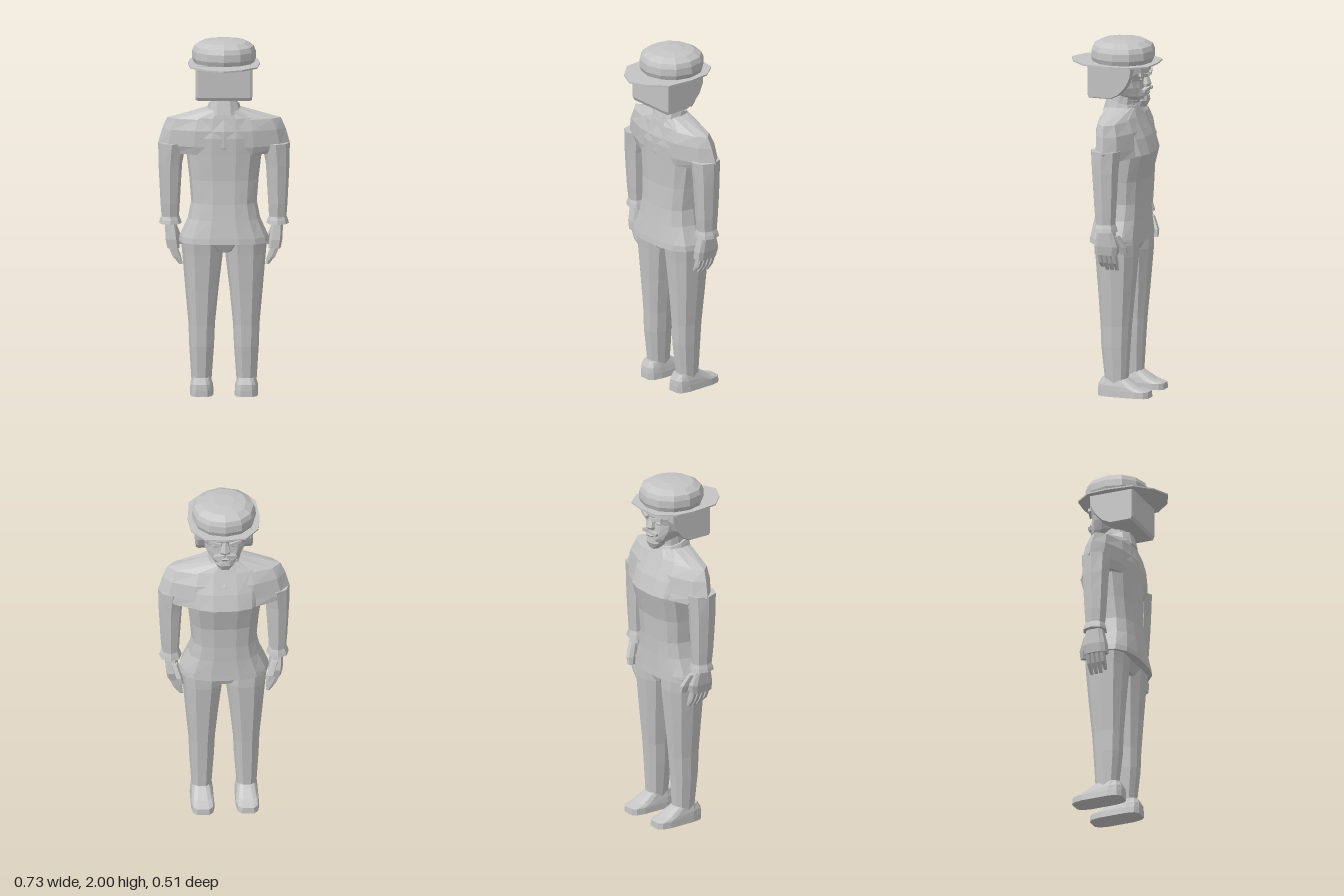
import * as THREE from 'three';

const grey = new THREE.MeshStandardMaterial({ color: 0xc4c4c4, flatShading: true, side: THREE.DoubleSide });
grey.name = 'plain grey';

function add(parent, name, geometry) {
  const m = new THREE.Mesh(geometry, grey);
  m.name = name;
  parent.add(m);
  return m;
}

// Skin over rounded rings, listed bottom to top: [y, xMin, xMax, zMin, zMax, squareness, tilt]
// squareness 1 is an ellipse, smaller is boxier, larger is pointed; tilt raises y along z
function loft(rings, n = 12, turn = 0) {
  const pos = [], idx = [];
  const pw = (v, p) => (Math.abs(v) < 1e-6 ? 0 : Math.sign(v) * Math.abs(v) ** p);
  for (const [y, x0, x1, z0, z1, p = 1, tilt = 0] of rings) {
    for (let j = 0; j < n; j++) {
      const a = ((j + turn) / n) * Math.PI * 2;
      const dz = pw(Math.sin(a), p) * (z1 - z0) / 2;
      pos.push((x0 + x1) / 2 + pw(Math.cos(a), p) * (x1 - x0) / 2, y + dz * tilt, (z0 + z1) / 2 + dz);
    }
  }
  const mid = (r) => {
    const [y, x0, x1, z0, z1] = r;
    pos.push((x0 + x1) / 2, y, (z0 + z1) / 2);
    return pos.length / 3 - 1;
  };
  const last = (rings.length - 1) * n;
  const lo = mid(rings[0]), hi = mid(rings[rings.length - 1]);
  for (let j = 0; j < n; j++) {
    const k = (j + 1) % n;
    for (let i = 0; i < last; i += n) idx.push(i + j, i + n + j, i + k, i + k, i + n + j, i + n + k);
    idx.push(lo, j, k, hi, last + k, last + j);
  }
  const g = new THREE.BufferGeometry();
  g.setAttribute('position', new THREE.Float32BufferAttribute(pos, 3));
  g.setIndex(idx);
  g.computeVertexNormals();
  return g;
}

// Rings symmetric about x = 0: [y, halfWidth, zMin, zMax, squareness, tilt]
const centred = (rings, n, turn) => loft(rings.map(([y, w, ...r]) => [y, -w, w, ...r]), n, turn);
// Rings moved to one side of the body
const sided = (s, rings, n, turn) =>
  loft(rings.map(([y, a, b, ...r]) => (s > 0 ? [y, a, b, ...r] : [y, -b, -a, ...r])), n, turn);

function buildHead() {
  const head = new THREE.Group();
  head.name = 'head';
  add(head, 'neck', centred([
    [1.57, 0.085, -0.13, 0.05, 0.8], [1.63, 0.075, -0.12, 0.03, 0.8, -0.15], [1.72, 0.07, -0.13, 0.0, 0.9],
  ], 10));
  add(head, 'collar', centred([
    [1.59, 0.1, -0.14, 0.06, 0.8], [1.645, 0.085, -0.13, 0.04, 0.8, 0.25],
  ], 10));
  add(head, 'face', centred([
    [1.655, 0.045, -0.185, -0.09, 0.8, 0.3], [1.69, 0.085, -0.195, -0.02, 0.8], [1.74, 0.115, -0.185, 0, 0.8],
    [1.78, 0.125, -0.18, 0, 0.8], [1.82, 0.13, -0.195, 0, 0.8], [1.88, 0.13, -0.19, 0, 0.8],
  ], 12));
  // hair block, cut back towards the jaw at each side
  const side = new THREE.Shape([
    [-0.11, 1.875], [-0.11, 1.7], [-0.1, 1.68], [0.03, 1.68], [0.08, 1.705], [0.125, 1.755], [0.15, 1.81], [0.155, 1.875],
  ].map(([x, y]) => new THREE.Vector2(x, y)));
  const hair = new THREE.ExtrudeGeometry(side, { depth: 0.29, bevelThickness: 0.012, bevelSize: 0.006, bevelOffset: -0.006, bevelSegments: 1 });
  hair.translate(0, 0, -0.145).rotateY(Math.PI / 2);
  add(head, 'hair', hair);
  add(head, 'nose', centred([
    [1.738, 0.03, -0.205, -0.16], [1.755, 0.032, -0.217, -0.16], [1.815, 0.014, -0.196, -0.16],
  ], 6, 0.5));
  add(head, 'chin', centred([
    [1.635, 0.04, -0.185, -0.1, 0.8, 0.35], [1.66, 0.055, -0.203, -0.1, 0.8], [1.685, 0.05, -0.2, -0.1, 0.8],
  ], 8, 0.5));
  add(head, 'lips', centred([
    [1.695, 0.04, -0.2, -0.12], [1.705, 0.045, -0.207, -0.12], [1.715, 0.035, -0.2, -0.12],
  ], 8, 0.5));
  for (const s of [1, -1]) {
    const moustache = add(head, 'moustache', new THREE.BoxGeometry(0.06, 0.018, 0.03));
    moustache.position.set(s * 0.03, 1.725, -0.193);
    moustache.rotation.set(0, s * -0.25, s * -0.25);
    const brow = add(head, 'brow', new THREE.BoxGeometry(0.07, 0.018, 0.03));
    brow.position.set(s * 0.055, 1.81, -0.182);
    brow.rotation.set(0, s * -0.25, s * 0.2);
    const eye = add(head, 'eye', new THREE.SphereGeometry(0.02, 6, 4));
    eye.scale.set(1.2, 0.6, 0.6);
    eye.position.set(s * 0.052, 1.785, -0.172);
  }
  return head;
}

function buildHat() {
  const hat = new THREE.Group();
  hat.name = 'hat';
  const crown = [[1.868, 0.166], [1.9, 0.178], [1.94, 0.176], [1.967, 0.165], [1.99, 0.125], [2.0, 0.055]];
  add(hat, 'crown', centred(crown.map(([y, r]) => [y, r, -0.048 - r, -0.048 + r, 0.95]), 12));
  // long brim, drawn with half its outline and mirrored
  const half = [[0.1, 0.21], [0.185, 0.12], [0.2, -0.03], [0.187, -0.15], [0.113, -0.24]];
  const outline = [[0, 0.255], ...half, [0, -0.252], ...half.map(([x, z]) => [-x, z]).reverse()];
  const brim = new THREE.ExtrudeGeometry(new THREE.Shape(outline.map(([x, z]) => new THREE.Vector2(x, z))),
    { depth: 0.008, bevelEnabled: false });
  brim.rotateX(Math.PI / 2).translate(0, 1.874, 0);
  add(hat, 'brim', brim);
  return hat;
}

function buildArm(s) {
  const arm = new THREE.Group();
  arm.name = s > 0 ? 'leftArm' : 'rightArm';
  add(arm, 'sleeve', sided(s, [
    [0.99, 0.25, 0.345, -0.112, 0.0, 0.85], [1.08, 0.245, 0.352, -0.118, 0.01, 0.85],
    [1.2, 0.238, 0.358, -0.125, 0.018, 0.85], [1.3, 0.232, 0.363, -0.13, 0.025, 0.9],
    [1.42, 0.21, 0.365, -0.14, 0.035, 1],
  ], 8));
  add(arm, 'cuff', sided(s, [
    [0.965, 0.235, 0.36, -0.125, 0.012, 0.85], [0.985, 0.24, 0.355, -0.12, 0.008, 0.85], [1.01, 0.25, 0.345, -0.112, 0, 0.85],
  ], 8));
  add(arm, 'palm', sided(s, [
    [0.83, 0.245, 0.315, -0.12, 0.01, 0.5], [0.88, 0.25, 0.325, -0.13, 0.01, 0.5], [0.98, 0.265, 0.33, -0.1, -0.01, 0.6],
  ], 8, 0.5));
  for (let i = 0; i < 4; i++) {
    const z = -0.018 - i * 0.028, drop = i === 0 ? 0.015 : 0;
    add(arm, 'finger', sided(s, [
      [0.735 + drop, 0.23, 0.25, z - 0.01, z + 0.01, 0.6], [0.78, 0.24, 0.285, z - 0.013, z + 0.013, 0.6],
      [0.84, 0.265, 0.31, z - 0.014, z + 0.014, 0.6],
    ], 6, 0.5));
  }
  add(arm, 'thumb', sided(s, [
    [0.83, 0.23, 0.26, -0.165, -0.125, 0.7], [0.87, 0.235, 0.275, -0.165, -0.11, 0.7], [0.94, 0.26, 0.3, -0.13, -0.08, 0.7],
  ], 6));
  return arm;
}

function buildLeg(s) {
  const leg = new THREE.Group();
  leg.name = s > 0 ? 'leftLeg' : 'rightLeg';
  add(leg, 'trouserLeg', sided(s, [
    [0.07, 0.07, 0.18, -0.12, 0.005, 0.8], [0.28, 0.055, 0.193, -0.132, 0.028, 0.8],
    [0.4, 0.05, 0.197, -0.14, 0.032, 0.8], [0.6, 0.03, 0.215, -0.158, 0.045, 0.8],
    [0.8, 0.006, 0.232, -0.175, 0.06, 0.8], [0.89, 0, 0.24, -0.175, 0.07, 0.8],
  ], 10));
  add(leg, 'shoe', sided(s, [
    [0, 0.058, 0.19, -0.258, 0.045, 0.5], [0.035, 0.06, 0.188, -0.255, 0.045, 0.5],
    [0.06, 0.065, 0.185, -0.2, 0.042, 0.55, 0.06], [0.1, 0.075, 0.175, -0.125, 0.025, 0.7],
  ], 12, 0.5));
  return leg;
}

export function createModel() {
  const model = new THREE.Group();
  model.name = 'standingMan';

  // jacket, flared at the hem and full at the chest
  add(model, 'jacket', centred([
    [0.868, 0.25, -0.195, 0.11, 0.75], [0.9, 0.245, -0.193, 0.107, 0.75], [1.0, 0.2, -0.19, 0.092, 0.75],
    [1.09, 0.182, -0.19, 0.08, 0.75], [1.22, 0.192, -0.197, 0.07, 0.75], [1.37, 0.21, -0.235, 0.072, 0.75],
    [1.46, 0.22, -0.205, 0.075, 0.8], [1.57, 0.21, -0.152, 0.055, 0.8], [1.62, 0.09, -0.13, 0.045, 0.9],
  ], 14));
  // shoulders tapering to a point at each side
  add(model, 'shoulders', centred([
    [1.365, 0.33, -0.215, 0.065, 1.1], [1.41, 0.367, -0.2, 0.073, 1.15], [1.5, 0.342, -0.185, 0.073, 1.1],
    [1.562, 0.315, -0.152, 0.055, 1.1], [1.62, 0.09, -0.13, 0.045, 0.9],
  ], 12));
  add(model, 'hips', centred([[0.815, 0.06, -0.15, 0.04, 0.8], [0.9, 0.225, -0.18, 0.08, 0.8]], 10));

  for (const s of [1, -1]) model.add(buildArm(s), buildLeg(s));
  model.add(buildHead(), buildHat());
  return model;
}
